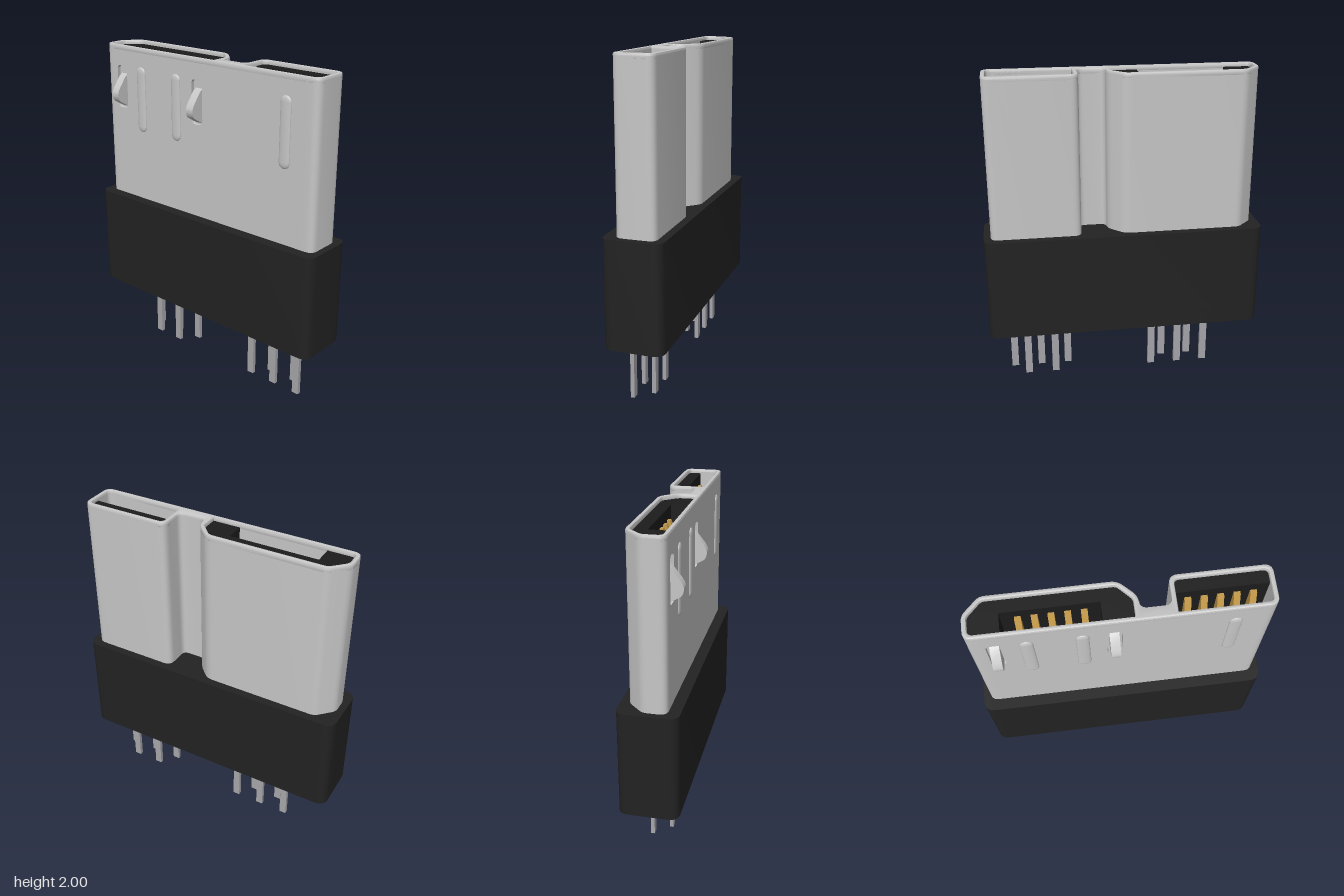
import * as THREE from 'three';
import { toCreasedNormals } from 'three/addons/utils/BufferGeometryUtils.js';

const mat = (name, color) => Object.assign(new THREE.MeshStandardMaterial({ color }), { name });

// Closed outline through [x, y, cornerRadius] points
function outline(points) {
  const shape = new THREE.Shape();
  const n = points.length;
  points.forEach(([x, y, r = 0], i) => {
    const toward = ([px, py]) => {
      const d = Math.hypot(px - x, py - y);
      return [x + (px - x) * r / d, y + (py - y) * r / d];
    };
    const a = toward(points[(i + n - 1) % n]);
    const b = toward(points[(i + 1) % n]);
    if (i === 0) shape.moveTo(...a); else shape.lineTo(...a);
    if (r > 0) shape.quadraticCurveTo(x, y, ...b);
  });
  shape.closePath();
  return shape;
}

const rect = (x0, y0, x1, y1, r) => [[x0, y0, r], [x1, y0, r], [x1, y1, r], [x0, y1, r]];

function extrude(points, holes, depth, bevel = 0) {
  const shape = outline(points);
  shape.holes = holes.map(outline);
  return new THREE.ExtrudeGeometry(shape, {
    depth: depth - 2 * bevel, curveSegments: 6, bevelEnabled: bevel > 0,
    bevelSize: bevel, bevelThickness: bevel, bevelOffset: -bevel, bevelSegments: 2,
  }).translate(0, 0, bevel);
}

// Upright prism from an [x, z, r] plan between two heights
function prism(plan, y0, y1, holes = [], bevel = 0) {
  const flip = (pts) => pts.map(([x, z, r]) => [x, -z, r]);
  const geo = extrude(flip(plan), holes.map(flip), y1 - y0, bevel);
  return toCreasedNormals(geo.rotateX(-Math.PI / 2).translate(0, y0, 0), 0.6);
}

// Side profile of [z, y, r] points given a width along x
function strip(profile, x, width) {
  const geo = extrude(profile, [], width);
  return toCreasedNormals(geo.rotateY(-Math.PI / 2).translate(x + width / 2, 0, 0), 0.6);
}

export function createModel() {
  const model = new THREE.Group();
  const steel = mat('shell steel', 0xc6c6c6);
  const black = mat('housing black', 0x222222);
  const dark = mat('insert black', 0x1c1c1c);
  const pinGrey = mat('pin grey', 0xa6a6aa);
  const gold = mat('contact gold', 0xc49a4a);
  const add = (name, geo, material) => {
    const mesh = new THREE.Mesh(geo, material);
    mesh.name = name;
    model.add(mesh);
    return mesh;
  };

  // Housing block
  add('housing', prism(rect(-0.873, -0.18, 0.873, 0.18, 0.065), 0.345, 1), black);

  // Metal shell: notched back and sides, slotted front plate, rounded rim
  const outer = [
    [0.83, 0.11, 0.05], [0.83, -0.13, 0.05], [0.27, -0.13, 0.05], [0.27, 0.04, 0.04],
    [0.1, 0.04, 0.04], [0.1, -0.03, 0.04], [0, -0.13, 0.04], [-0.73, -0.13, 0.03],
    [-0.83, -0.03, 0.03], [-0.83, 0.11, 0.05],
  ];
  const leftCavity = [
    [-0.803, 0.085, 0.03], [-0.803, -0.02, 0.02], [-0.72, -0.105, 0.02],
    [-0.01, -0.105, 0.02], [0.07, -0.02, 0.02], [0.07, 0.085],
  ];
  const rightCavity = [
    [0.297, 0.085], [0.297, -0.105, 0.03], [0.803, -0.105, 0.03], [0.803, 0.085, 0.03],
  ];
  const seam = 0.74;
  const wrap = [
    ...outer, [-seam, 0.11], [-seam, 0.085], ...leftCavity, ...rightCavity,
    [seam, 0.085], [seam, 0.11],
  ];
  add('shell', prism(wrap, 0.98, 1.985), steel);
  add('shellRim', prism(outer, 1.96, 2, [leftCavity, rightCavity], 0.009), steel);

  const clipXs = [-0.69, -0.042];
  const slots = clipXs.map((x) => rect(x - 0.043, 1.595, x + 0.043, 1.87, 0.03));
  const front = extrude(rect(-seam, 0.98, seam, 1.985), slots, 0.025);
  add('shellFront', toCreasedNormals(front.translate(0, 0, 0.085), 0.6), steel);

  // Spring clips standing out of the slots
  for (const x of clipXs) {
    const clip = [
      [0.08, 1.6], [0.11, 1.615], [0.168, 1.65, 0.01], [0.184, 1.69, 0.025],
      [0.165, 1.73, 0.02], [0.11, 1.8], [0.08, 1.82],
    ];
    add('springClip', strip(clip, x, 0.054), steel);
    const back = new THREE.BoxGeometry(0.095, 0.29, 0.017);
    add('clipBacking', back.translate(x, 1.733, 0.0785), steel);
  }

  // Raised ribs on the front
  for (const x of [-0.516, -0.216, 0.615]) {
    const rib = add('rib', new THREE.CapsuleGeometry(0.037, 0.346, 6, 16), steel);
    rib.scale.z = 0.32;
    rib.position.set(x, 1.67, 0.11);
  }

  // Insulating inserts, each with a recess open toward the front wall
  const floorY = 1.4;
  const topY = 1.975;
  const leftUpper = [
    ...leftCavity, [-0.1, 0.085], [-0.1, -0.03], [-0.637, -0.03], [-0.637, 0.085],
  ];
  add('leftInsertBase', prism(leftCavity, 1, floorY), dark);
  add('leftInsert', prism(leftUpper, floorY, topY), dark);
  add('rightInsertBase', prism(rightCavity, 1, floorY), dark);
  add('rightInsert', prism([
    [0.297, -0.03], [0.297, -0.105, 0.03], [0.803, -0.105, 0.03], [0.803, -0.03],
  ], floorY, topY), dark);

  // Contacts and pins in two groups of five, pins staggered in two rows
  const contact = [
    [-0.035, 1.4], [0.01, 1.4], [0.04, 1.78, 0.03], [-0.012, 1.91], [-0.035, 1.91],
  ];
  [-0.367, 0.545].forEach((centre, group) => {
    for (let i = 0; i < 5; i++) {
      const x = centre + (i - 2) * 0.089;
      add('contact', strip(contact, x, 0.036), gold);
      const z = (i + group) % 2 ? 0.052 : -0.048;
      add('pin', new THREE.BoxGeometry(0.045, 0.36, 0.024).translate(x, 0.18, z), pinGrey);
    }
  });

  return model;
}
